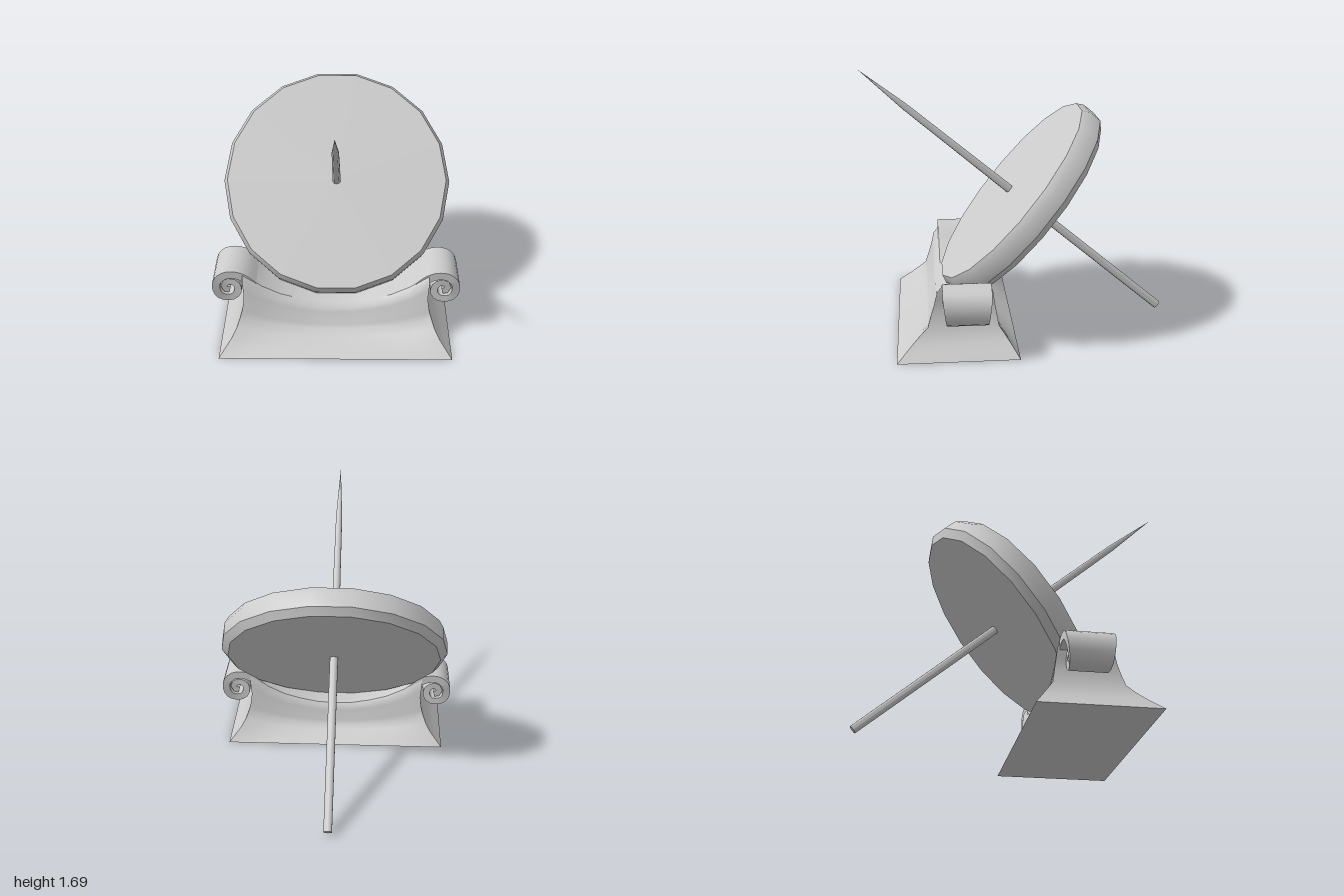
import * as THREE from 'three';
import { toCreasedNormals } from 'three/addons/utils/BufferGeometryUtils.js';

const material = new THREE.MeshStandardMaterial({ color: 0xcccccc });

function addMesh(parent, name, geometry, crease = 0.65) {
  const mesh = new THREE.Mesh(toCreasedNormals(geometry, crease), material);
  mesh.name = name;
  parent.add(mesh);
  return mesh;
}

// Linear interpolation through [input, output] pairs
function lookup(table, x) {
  for (let i = 1; i < table.length; i++) {
    const [x0, y0] = table[i - 1], [x1, y1] = table[i];
    if (x <= x1) return THREE.MathUtils.lerp(y0, y1, (x - x0) / (x1 - x0));
  }
  return table[table.length - 1][1];
}

// Move every vertex of a geometry by a rule
function warp(geometry, rule) {
  const p = geometry.attributes.position;
  for (let i = 0; i < p.count; i++) p.setXYZ(i, ...rule(p.getX(i), p.getY(i), p.getZ(i)));
  return geometry;
}

function lathe(profile, segments, phiStart) {
  const points = profile.map(([r, y]) => new THREE.Vector2(r, y));
  return new THREE.LatheGeometry(points, segments, phiStart);
}

// Flared foot with a saddle-shaped top
function baseGeometry() {
  const halfWidth = [[0, 0.745], [0.25, 0.645], [0.45, 0.607], [0.67, 0.59], [0.9, 0.6], [1, 0.6]];
  const front = [[0, 0.79], [0.4, 0.597], [0.7, 0.557], [0.9, 0.535], [1, 0.5]];
  const back = [[0, 0.03], [0.4, 0.155], [0.7, 0.178], [0.9, 0.19], [1, 0.21]];
  const saddle = [[0, 0.237], [0.2, 0.242], [0.4, 0.265], [0.6, 0.3], [0.8, 0.36], [0.92, 0.42], [1, 0.45]];
  return warp(new THREE.BoxGeometry(2, 1, 2, 20, 10, 1), (u, y, w) => {
    const v = y + 0.5;
    return [
      u * lookup(halfWidth, v),
      v * lookup(saddle, Math.abs(u)),
      lookup(w > 0 ? front : back, v),
    ];
  });
}

// Strip rolled into a spiral, narrowing towards its inner end
function scrollGeometry() {
  const path = new THREE.CatmullRomCurve3([
    [0.53, 0.365], [0.59, 0.42], [0.65, 0.445], [0.72, 0.438], [0.765, 0.395],
    [0.775, 0.33], [0.755, 0.275], [0.712, 0.253], [0.66, 0.262], [0.636, 0.305],
    [0.645, 0.35], [0.685, 0.373], [0.722, 0.352], [0.722, 0.315], [0.69, 0.305],
  ].map(([x, y]) => new THREE.Vector3(x, y, 0)));
  const width = [[0, 0.15], [0.35, 0.15], [0.6, 0.122], [1, 0.11]];
  return warp(new THREE.BoxGeometry(1, 1, 2, 28, 1, 1), (x, y, z) => {
    const t = THREE.MathUtils.clamp(x + 0.5, 0, 1);
    const p = path.getPointAt(t), d = path.getTangentAt(t);
    const offset = y * THREE.MathUtils.lerp(0.056, 0.044, t);
    return [p.x - d.y * offset, p.y + d.x * offset, z * lookup(width, t)];
  });
}

export function createModel() {
  const model = new THREE.Group();
  model.name = 'sundial';

  addMesh(model, 'base', baseGeometry());

  // Scrolls at both ends of the base
  for (const side of ['left', 'right']) {
    const scroll = addMesh(model, side + 'Scroll', scrollGeometry(), 0.8);
    scroll.position.z = 0.355;
    scroll.rotation.y = side === 'left' ? 0 : Math.PI;
  }

  // Tilted dial: local y runs along the pointer
  const dial = new THREE.Group();
  dial.name = 'dial';
  dial.position.set(0, 0.885, 0.035);
  dial.rotation.x = THREE.MathUtils.degToRad(50);
  model.add(dial);

  addMesh(dial, 'disc', lathe([
    [0, -0.18], [0.7, -0.18], [0.745, -0.135], [0.745, -0.05], [0.72, 0], [0, 0],
  ], 18, Math.PI / 18));

  // Pointer through the disc, sharpened at the front end
  addMesh(dial, 'pointer', lathe([
    [0, -1.33], [0.028, -1.33], [0.028, 0], [0.022, 0.88], [0, 1.26],
  ], 10, 0));

  return model;
}
